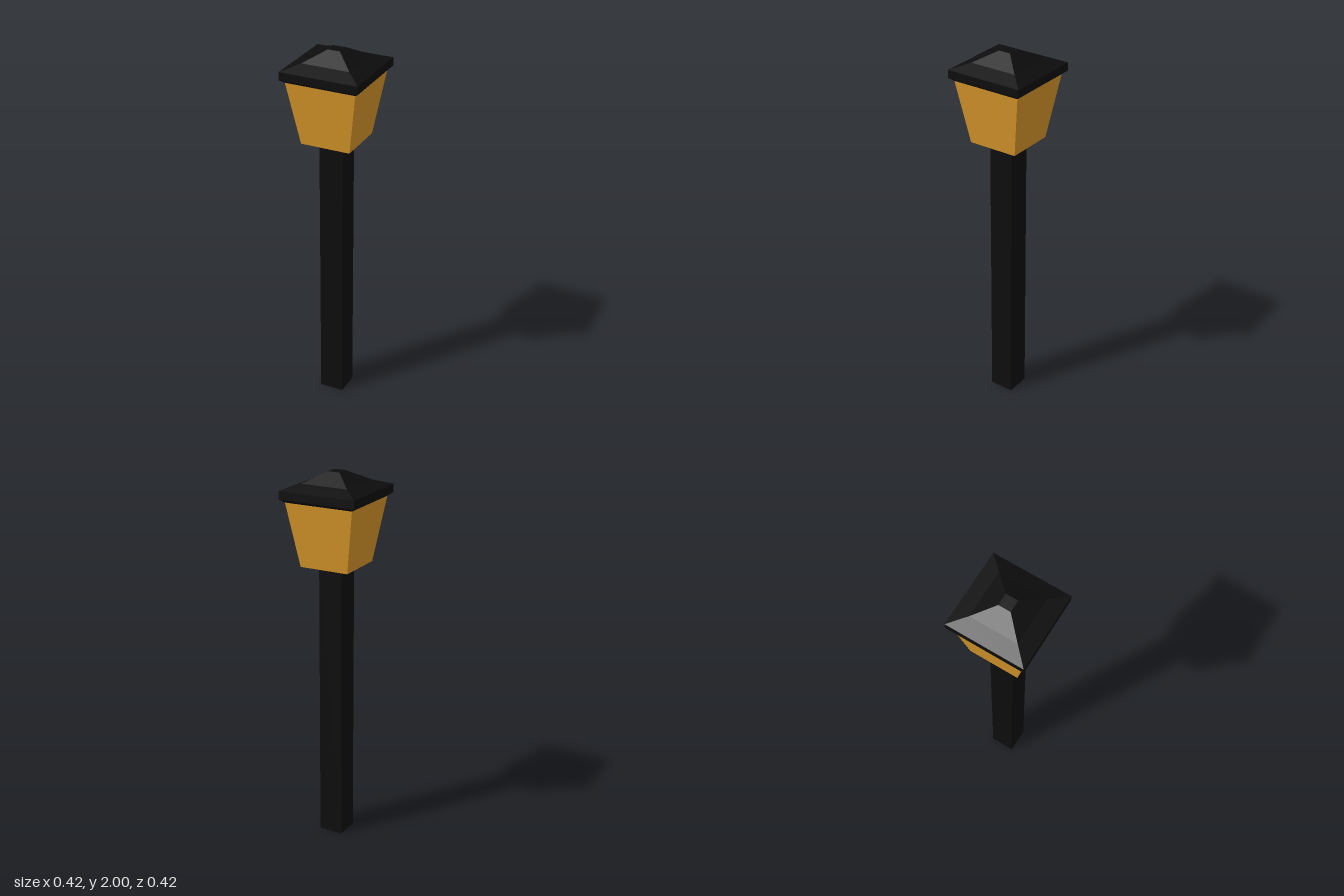
import * as THREE from 'three';

const black = new THREE.MeshStandardMaterial({ color: 0x0d0d0d, flatShading: true });
const amber = new THREE.MeshStandardMaterial({ color: 0xdc992b, flatShading: true });

// Closed square solid from [half width, height] pairs, listed bottom to top
function squareSolid(name, profile, material) {
  const points = profile.map(([half, y]) => new THREE.Vector2(half * Math.SQRT2, y));
  points.unshift(new THREE.Vector2(0, profile[0][1]));
  points.push(new THREE.Vector2(0, profile[profile.length - 1][1]));
  const geometry = new THREE.LatheGeometry(points, 4, Math.PI / 4).toNonIndexed();
  geometry.computeVertexNormals();
  const mesh = new THREE.Mesh(geometry, material);
  mesh.name = name;
  return mesh;
}

export function createModel() {
  const lamp = new THREE.Group();
  lamp.name = 'lampPost';
  lamp.add(
    // Square post flaring into a collar under the lantern
    squareSolid('post', [[0.066, 0], [0.066, 1.495]], black),
    squareSolid('collar', [[0.066, 1.495], [0.11, 1.516]], black),
    // Tapered lantern panes
    squareSolid('lanternGlass', [[0.135, 1.515], [0.19, 1.855]], amber),
    // Roof with bevelled rim, shallow eaves and a steeper flat-topped peak
    squareSolid('roof', [
      [0.19, 1.855], [0.212, 1.872], [0.212, 1.915], [0.13, 1.945], [0.033, 2],
    ], black),
  );
  return lamp;
}
